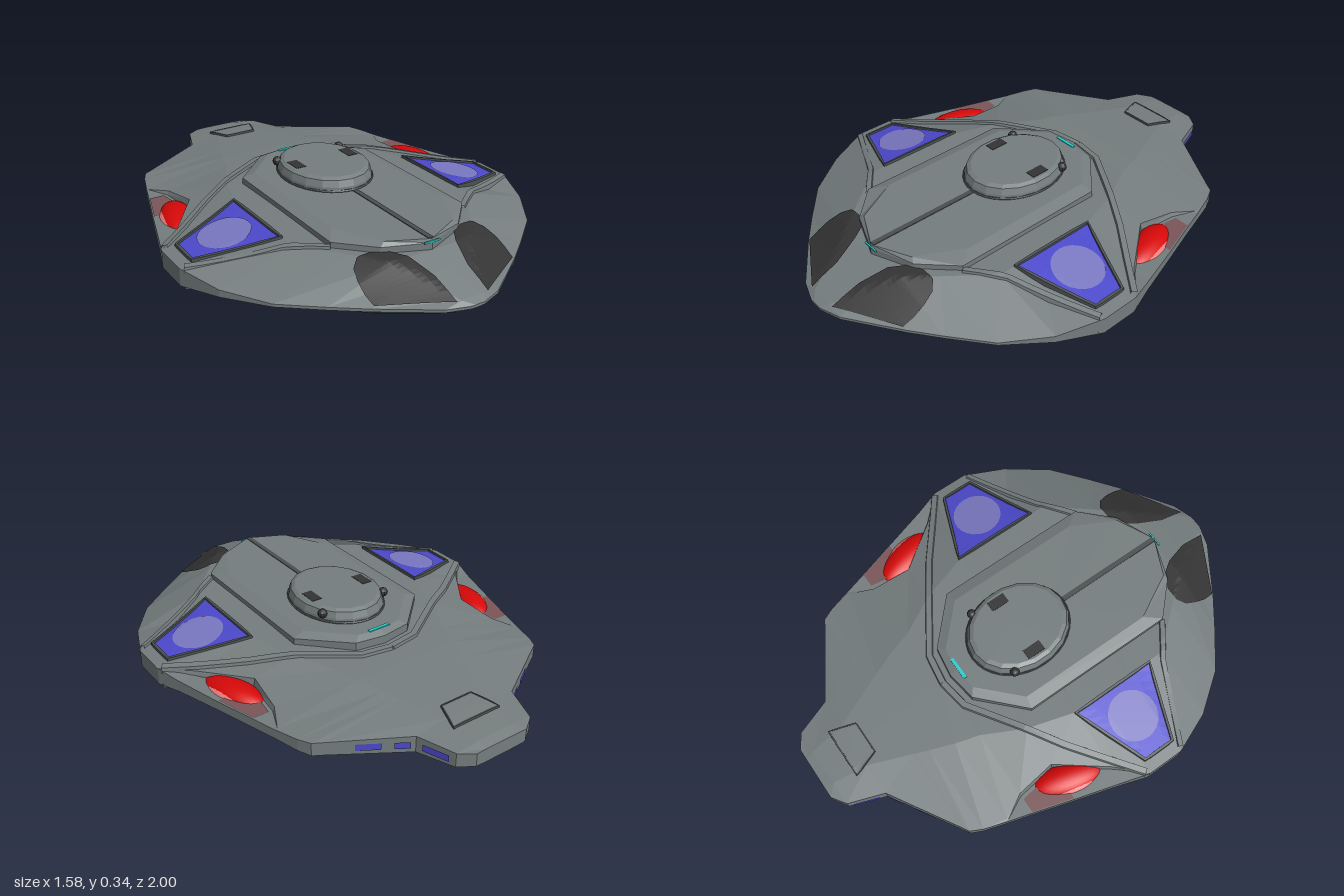
import * as THREE from 'three';

const MID = 0.143; // height of the hull's mirror plane

// hull stations: z, half width, plateau half width, half height, rim half height, recess start
const STATIONS = [
  [1, .03, .01, .006, .005], [.97, .12, .05, .02, .006], [.83, .33, .12, .07, .006],
  [.74, .45, .18, .1, .006], [.62, .6, .28, .105, .006], [.45, .72, .42, .106, .015],
  [.27, .79, .42, .107, .037], [.11, .79, .42, .107, .037], [0, .755, .42, .105, .025, .68],
  [-.2, .695, .36, .1, .02, .53], [-.37, .642, .27, .09, .02, .55], [-.47, .612, .24, .085, .02, .6],
  [-.57, .58, .2, .075, .025], [-.62, .555, .18, .07, .028], [-.64, .52, .17, .068, .028],
  [-.81, .235, .1, .055, .035], [-.96, .18, .08, .04, .03], [-1, .12, .07, .03, .028],
];

// half cross-section of a station as [x, height] pairs
function halfSection([, w, p, H, e, q = w]) {
  const onSlope = H + (e - H) * (q - p) / (w - p);
  return [[0, H], [p, H], [q, onSlope], [Math.min(q + .008, w), e], [w, e]];
}

function sectionAt(z) {
  let i = 0;
  while (i < STATIONS.length - 2 && STATIONS[i + 1][0] > z) i++;
  const a = STATIONS[i], b = STATIONS[i + 1];
  const t = THREE.MathUtils.clamp((a[0] - z) / (a[0] - b[0]), 0, 1);
  const A = halfSection(a), B = halfSection(b);
  return A.map((p, k) => [p[0] + (B[k][0] - p[0]) * t, p[1] + (B[k][1] - p[1]) * t]);
}

// hull half height at a plan position
function surface(x, z) {
  const s = sectionAt(z);
  x = Math.abs(x);
  for (let k = 0; k < 4; k++) {
    const [x0, h0] = s[k], [x1, h1] = s[k + 1];
    if (x <= x1 && x1 > x0) return h0 + (h1 - h0) * (x - x0) / (x1 - x0);
  }
  return s[4][1];
}

// surface through rows of [x, y, z] points
function grid(rows, flip = false) {
  const n = rows[0].length, index = [];
  for (let i = 0; i < rows.length - 1; i++) for (let j = 0; j < n - 1; j++) {
    const a = i * n + j, b = a + n;
    if (flip) index.push(a, b, a + 1, a + 1, b, b + 1);
    else index.push(a, a + 1, b, a + 1, b + 1, b);
  }
  const g = new THREE.BufferGeometry();
  g.setAttribute('position', new THREE.Float32BufferAttribute(rows.flat(2), 3));
  g.setIndex(index);
  g.computeVertexNormals();
  return g;
}

// subdivide a plan path
function dense(path, closed, n = 5) {
  const out = [], count = path.length - (closed ? 0 : 1);
  for (let i = 0; i < count; i++) {
    const a = path[i], b = path[(i + 1) % path.length];
    for (let k = 0; k < n; k++) out.push([a[0] + (b[0] - a[0]) * k / n, a[1] + (b[1] - a[1]) * k / n]);
  }
  out.push(closed ? path[0] : path[path.length - 1]);
  return out;
}

// thin skin over the hull between two plan edges
function drape(A, B, mx, s, lift = .006) {
  const a = dense(A, false), b = dense(B, false);
  return grid(a.map((p, i) => Array.from({ length: 9 }, (_, j) => {
    const x = p[0] + (b[i][0] - p[0]) * j / 8, z = p[1] + (b[i][1] - p[1]) * j / 8;
    return [mx * x, MID + s * (surface(x, z) + lift), z];
  })), mx * s < 0);
}

// raised band following a plan path over the hull
function band(path, width, lift, mx, s, closed = false) {
  const pts = dense(path, closed), n = pts.length;
  return grid(pts.map((p, i) => {
    const a = i ? pts[i - 1] : closed ? pts[n - 2] : p;
    const b = i < n - 1 ? pts[i + 1] : closed ? pts[1] : p;
    const l = Math.hypot(b[0] - a[0], b[1] - a[1]), nx = -(b[1] - a[1]) / l, nz = (b[0] - a[0]) / l;
    return [[-.5, -.01], [-.35, lift], [.35, lift], [.5, -.01]].map(([o, h]) => {
      const x = p[0] + nx * o * width, z = p[1] + nz * o * width;
      return [mx * x, MID + s * (surface(x, z) + h), z];
    });
  }), mx * s < 0);
}

export function createModel() {
  const model = new THREE.Group();
  const material = (name, color, flatShading = true) =>
    new THREE.MeshStandardMaterial({ name, color, flatShading, side: THREE.DoubleSide });
  const grey = material('hull grey', 0x757d7e);
  const trim = material('trim grey', 0x4a4f50);
  const dark = material('dark glass', 0x343434);
  const blue = material('grille blue', 0x4c49cc);
  const paleBlue = material('pale blue', 0x7a78c2, false);
  const red = material('engine red', 0xd80808, false);
  const pink = material('engine glow', 0xe87c7c, false);
  const maroon = material('recess maroon', 0x7a5558);
  const cyan = material('light cyan', 0x22d0d0);
  const add = (name, geometry, mat, x = 0, y = 0, z = 0) => {
    const m = new THREE.Mesh(geometry, mat);
    m.name = name;
    m.position.set(x, y, z);
    model.add(m);
    return m;
  };

  // main hull lofted along its length
  const rows = STATIONS.map((st) => {
    const half = halfSection(st), z = st[0];
    const side = (s) => [...half.slice(1).reverse().map(([x, h]) => [-x, MID + s * h, z]),
      ...half.map(([x, h]) => [x, MID + s * h, z])];
    const ring = [...side(1), ...side(-1).reverse()];
    return [...ring, ring[0]];
  });
  const cap = (row) => row.map((p) => [0, MID, p[2]]);
  add('hull', grid([cap(rows[0]), ...rows, cap(rows[rows.length - 1])]), grey);

  // bevelled centre plates above and below
  const loop = (half) => [...half, ...half.slice(1, -1).reverse().map(([x, z]) => [-x, z]), half[0]];
  const outer = loop([[0, .74], [.18, .67], [.31, .54], [.31, -.14], [.13, -.31], [0, -.33]]);
  const inner = loop([[0, .735], [.16, .66], [.26, .47], [.26, -.13], [.1, -.285], [0, -.3]]);
  for (const s of [1, -1]) {
    const at = (o, h) => o.map(([x, z]) => [x, MID + s * h, z]);
    add(s > 0 ? 'upperPlate' : 'lowerPlate', grid([at(outer, .08), at(outer, .128), at(inner, .143),
      inner.map(() => [0, MID + s * .143, .2])], s < 0), grey);
  }

  const panel = [[.425, .38], [.425, 0], [.735, .125], [.735, .265]];
  for (const s of [1, -1]) for (const mx of [1, -1]) {
    // wing grilles with a pale disc and a dark frame
    add('wingGrille', drape([panel[0], panel[1]], [panel[3], panel[2]], mx, s, .004), blue);
    const disc = Array.from({ length: 13 }, (_, i) => Math.PI * i / 12);
    add('grilleDisc', drape(disc.map((a) => [.565 - .105 * Math.sin(a), .19 + .105 * Math.cos(a)]),
      disc.map((a) => [.565 + .105 * Math.sin(a), .19 + .105 * Math.cos(a)]), mx, s, .007), paleBlue);
    add('grilleFrame', band(panel, .016, .012, mx, s, true), trim);
    // raised ridges that bound the wing arms
    add('rearRidge', band([[0, -.37], [.13, -.35], [.5, -.11], [.775, .1]], .035, .012, mx, s), grey);
    add('frontRidge', band([[.31, .54], [.45, .435], [.775, .28]], .03, .01, mx, s), grey);
    // front windows
    add('frontWindow', drape([[.07, .97], [.075, .85], [.11, .74], [.15, .68], [.21, .65]],
      [[.32, .83], [.325, .78], [.32, .73], [.305, .68], [.27, .65]], mx, s, .006), dark);
    // tinted floor of the engine recess
    add('recessFloor', drape([[.55, -.2], [.575, -.37]], [[.69, -.2], [.638, -.37]], mx, s, .003), maroon);
  }

  for (const mx of [1, -1]) {
    // engine pods in the side recesses
    const pod = add('enginePod', new THREE.SphereGeometry(1, 24, 16), red, mx * .605, MID, -.165);
    pod.scale.set(.072, .052, .155);
    pod.rotation.y = mx * .28;
    const glow = add('engineGlow', new THREE.SphereGeometry(1, 24, 16), pink, mx * .627, MID, -.165);
    glow.scale.set(.058, .04, .125);
    glow.rotation.y = mx * .28;
    // lit slots along the rear rim
    for (const [a, b] of [[[.42, -.697], [.34, -.746]], [[.3, -.77], [.25, -.801]], [[.226, -.835], [.19, -.935]]]) {
      const o = .004;
      add('rimSlot', grid([[[mx * (a[0] + o), MID - .014, a[1] - o], [mx * (a[0] + o), MID + .014, a[1] - o]],
        [[mx * (b[0] + o), MID - .014, b[1] - o], [mx * (b[0] + o), MID + .014, b[1] - o]]]), blue);
    }
    // dark ports on the underside and on the dome
    const port = add('bellyPort', new THREE.CylinderGeometry(1, 1, .008, 16), dark,
      mx * .2, MID - surface(.2, -.44) - .002, -.44);
    port.scale.set(.045, 1, .07);
    add('domePatch', new THREE.BoxGeometry(.045, .005, .08), dark, mx * .128, .34, 0);
    add('domeLamp', new THREE.SphereGeometry(.02, 10, 8), dark, mx * .155, .322, -.115);
  }

  // command dome
  const dome = add('dome', new THREE.LatheGeometry([[.19, .27], [.187, .305], [.178, .332], [.162, .341], [0, .341]]
    .map(([x, y]) => new THREE.Vector2(x, y)), 18), grey, 0, 0, .012);
  dome.scale.z = 1.21;
  const rim = add('domeRim', new THREE.TorusGeometry(.186, .006, 6, 36), trim, 0, .289, .012);
  rim.rotation.x = Math.PI / 2;
  rim.scale.y = 1.21;

  // spine groove and marker lights on the upper plate
  add('spine', new THREE.BoxGeometry(.022, .008, .49), trim, 0, .285, .485);
  add('rearLight', new THREE.BoxGeometry(.1, .007, .014), cyan, 0, .286, -.288);
  add('frontLight', new THREE.BoxGeometry(.07, .007, .006), cyan, 0, .276, .738);
  add('bellyHatch', new THREE.CylinderGeometry(.05, .05, .006, 16), dark, 0, .002, -.16);

  // rear hatch
  const hatch = [[-.11, -.865], [.11, -.865], [.072, -.755], [-.072, -.755]];
  add('rearHatch', drape([hatch[3], hatch[0]], [hatch[2], hatch[1]], 1, 1, .008), grey);
  add('rearHatchFrame', band(hatch, .008, .01, 1, 1, true), trim);

  // sensor blister under the tail
  const blister = add('sensorBlister', new THREE.SphereGeometry(1, 28, 16), paleBlue, 0, .092, -.64);
  blister.scale.set(.11, .05, .2);
  add('blisterMount', new THREE.BoxGeometry(.09, .03, .07), dark, 0, .082, -.82);

  return model;
}
